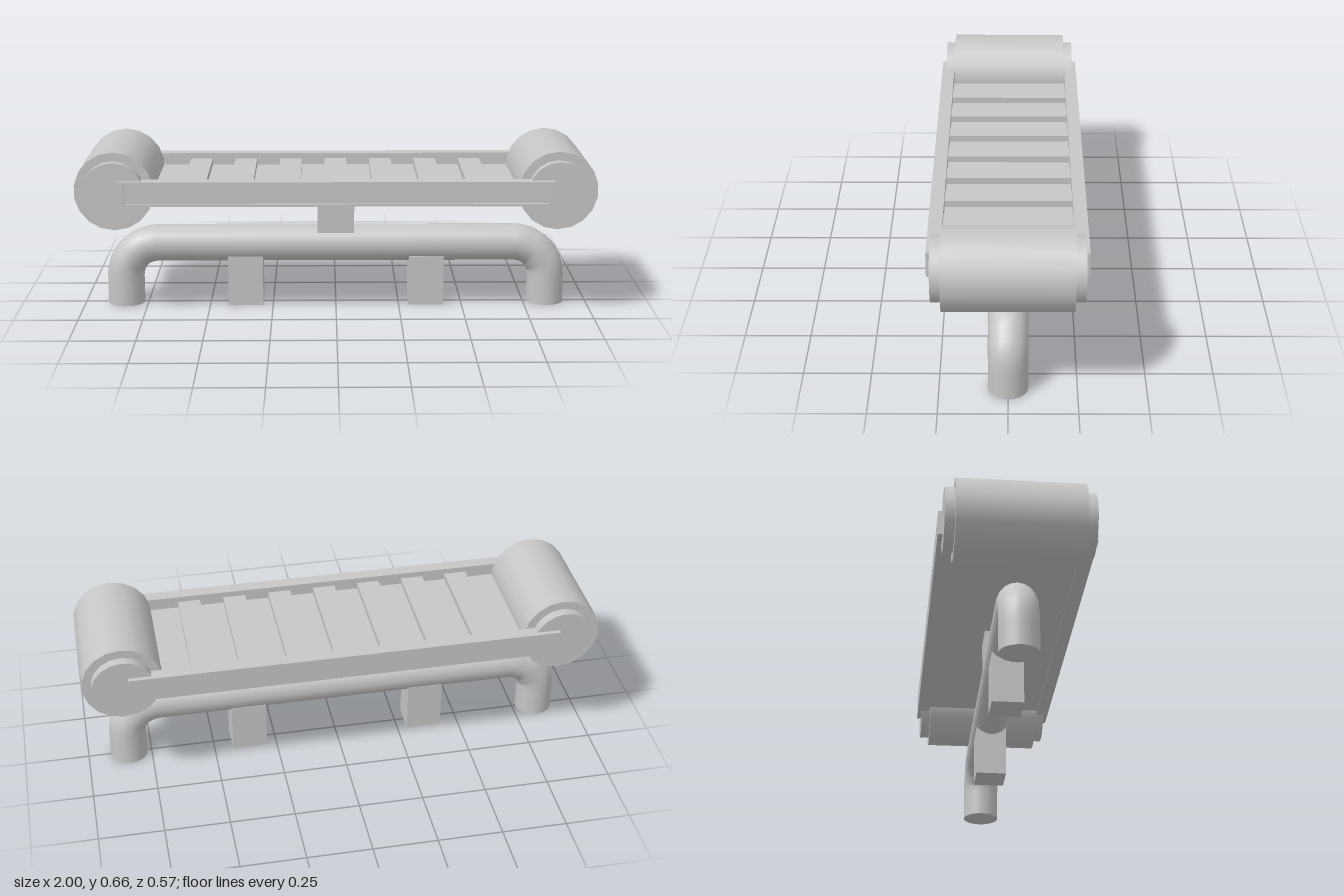
import * as THREE from 'three';

export function createModel() {
  const model = new THREE.Group();
  const grey = new THREE.MeshStandardMaterial({ color: 0xc6c6c6 });
  grey.name = 'light grey';

  const add = (name, geometry, x = 0, y = 0, z = 0) => {
    const mesh = new THREE.Mesh(geometry, grey);
    mesh.name = name;
    mesh.position.set(x, y, z);
    model.add(mesh);
    return mesh;
  };
  // Box given by its limits on each axis
  const box = (name, x0, x1, y0, y1, z0, z1) =>
    add(name, new THREE.BoxGeometry(x1 - x0, y1 - y0, z1 - z0),
      (x0 + x1) / 2, (y0 + y1) / 2, (z0 + z1) / 2);

  // End rollers with a narrower hub showing at both ends
  const drum = (radius, length) =>
    new THREE.CylinderGeometry(radius, radius, length, 18).rotateX(Math.PI / 2);
  for (const side of [-1, 1]) {
    add('roller', drum(0.152, 0.464), side * 0.848, 0.507);
    add('rollerHub', drum(0.119, 0.538), side * 0.848, 0.507);
  }

  // Bed between the rollers, with raised slats across it
  box('bed', -0.7, 0.7, 0.462, 0.508, -0.238, 0.238);
  for (let i = -3; i <= 3; i++) {
    const x = i * 0.181;
    box('slat', x - 0.044, x + 0.044, 0.505, 0.533, -0.236, 0.236);
  }

  // Side rails; the front one carries a shallow frame around a recessed panel
  box('backRail', -0.828, 0.828, 0.46, 0.555, -0.286, -0.236);
  box('frontRail', -0.828, 0.828, 0.46, 0.555, 0.236, 0.276);
  const rectangle = (path, w, h) => path.moveTo(-w, -h).lineTo(w, -h).lineTo(w, h).lineTo(-w, h).closePath();
  const frame = rectangle(new THREE.Shape(), 0.828, 0.0475);
  frame.holes.push(rectangle(new THREE.Path(), 0.804, 0.038));
  add('railFrame', new THREE.ExtrudeGeometry(frame, { depth: 0.011, bevelEnabled: false }), 0, 0.5075, 0.276);

  // Central post, slightly narrower at the bottom
  const post = new THREE.BoxGeometry(0.144, 0.17, 0.114);
  const p = post.attributes.position;
  for (let i = 0; i < p.count; i++) if (p.getY(i) < 0) p.setZ(i, p.getZ(i) * 0.93);
  post.computeVertexNormals();
  add('post', post, 0, 0.38);

  // Bent base pipe: straight beam, rounded corners and two legs
  const legX = 0.838, beamY = 0.244, bend = 0.13, radius = 0.073;
  const points = [new THREE.Vector3(-legX, 0, 0)];
  const steps = 6;
  for (const side of [-1, 1]) {
    for (let i = 0; i <= steps; i++) {
      const a = (side < 0 ? i : steps - i) / steps * Math.PI / 2;
      points.push(new THREE.Vector3(side * (legX - bend + bend * Math.cos(a)), beamY - bend + bend * Math.sin(a), 0));
    }
  }
  points.push(new THREE.Vector3(legX, 0, 0));
  const path = new THREE.CurvePath();
  for (let i = 1; i < points.length; i++) path.add(new THREE.LineCurve3(points[i - 1], points[i]));
  add('basePipe', new THREE.TubeGeometry(path, 90, radius, 20));
  for (const side of [-1, 1]) {
    add('pipeEnd', new THREE.CircleGeometry(radius, 20).rotateX(Math.PI / 2), side * legX, 0.0005);
  }

  // Square feet under the beam
  for (const side of [-1, 1]) {
    add('foot', new THREE.BoxGeometry(0.138, 0.2, 0.12), side * 0.358, 0.1);
  }
  return model;
}
